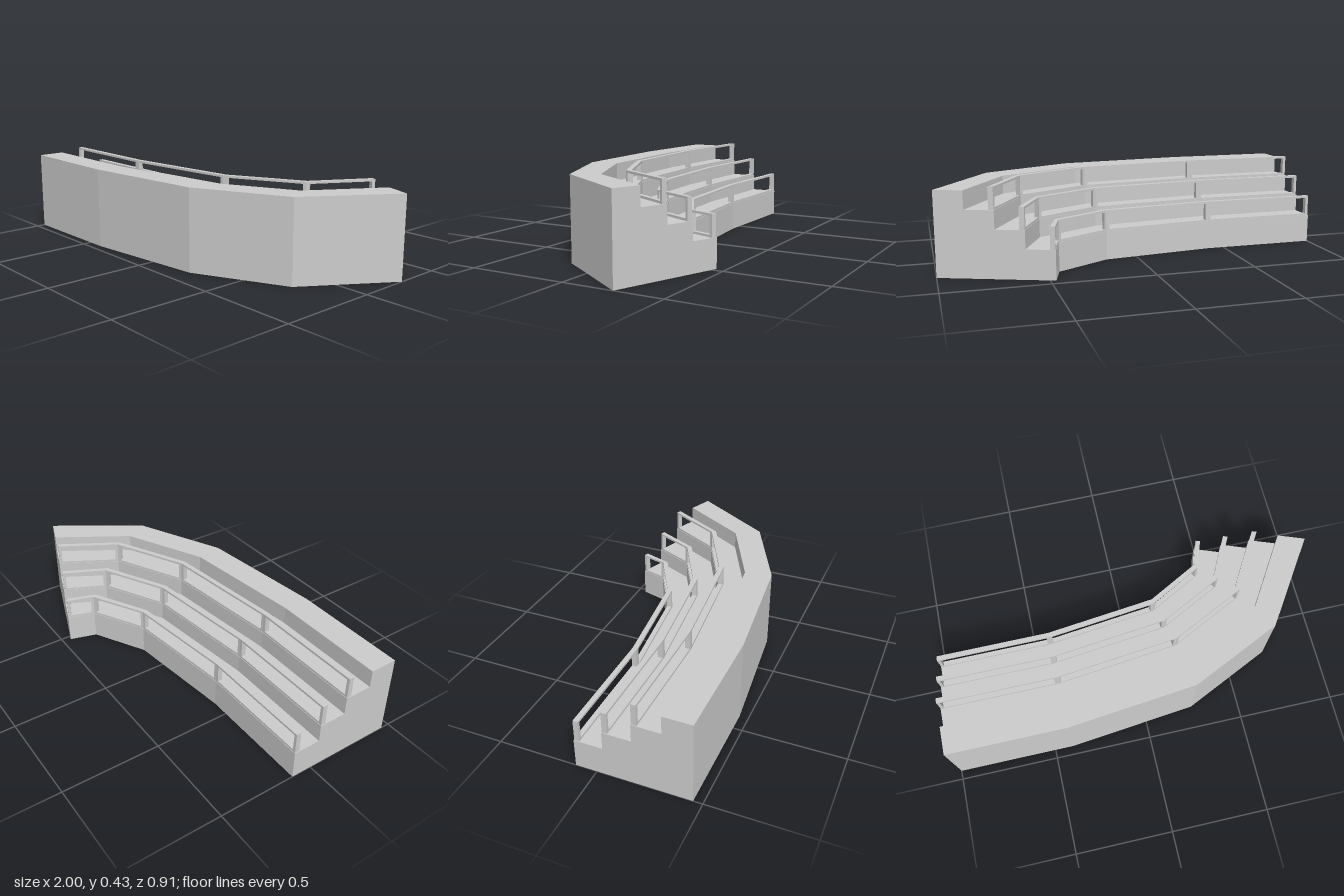
import * as THREE from 'three';

const material = new THREE.MeshStandardMaterial({ color: 0xcccccc, flatShading: true });

// Plan of the curved stand: [inner x, inner z, outer x, outer z] at each bend
const plan = [
  [-1, -0.105, -1, 0.456],
  [-0.41, -0.105, -0.405, 0.456],
  [0.16, -0.17, 0.253, 0.386],
  [0.432, -0.318, 0.714, 0.171],
  [0.473, -0.456, 1, -0.26],
];
const DEPTH = 0.56, ROWS = 4, FIRST = 0.145, RISE = 0.09;

const lerp = THREE.MathUtils.lerp;
const at = (s, t) => [lerp(s[0], s[2], t), lerp(s[1], s[3], t)];

// Section moved distance d from a towards b, measured at depth fraction t
function shift(a, b, d, t) {
  const p = at(a, t), q = at(b, t);
  const k = d / Math.hypot(q[0] - p[0], q[1] - p[1]);
  return a.map((v, i) => lerp(v, b[i], k));
}

// Sweep a closed counter-clockwise profile of [depth fraction, y] through sections
function sweep(name, sections, profile) {
  const pos = [];
  const point = (s, [t, y]) => {
    const [x, z] = at(s, t);
    return [x, y, z];
  };
  const tri = (a, b, c) => pos.push(...a, ...b, ...c);
  for (let i = 0; i < sections.length - 1; i++) {
    profile.forEach((p, j) => {
      const q = profile[(j + 1) % profile.length];
      const p0 = point(sections[i], p), p1 = point(sections[i + 1], p);
      const q0 = point(sections[i], q), q1 = point(sections[i + 1], q);
      tri(p0, p1, q1);
      tri(p0, q1, q0);
    });
  }
  // End caps
  const first = sections[0], last = sections[sections.length - 1];
  const faces = THREE.ShapeUtils.triangulateShape(profile.map((p) => new THREE.Vector2(...p)), []);
  for (const [a, b, c] of faces) {
    tri(point(first, profile[a]), point(first, profile[b]), point(first, profile[c]));
    tri(point(last, profile[c]), point(last, profile[b]), point(last, profile[a]));
  }
  const geometry = new THREE.BufferGeometry();
  geometry.setAttribute('position', new THREE.Float32BufferAttribute(pos, 3));
  geometry.computeVertexNormals();
  const mesh = new THREE.Mesh(geometry, material);
  mesh.name = name;
  return mesh;
}

const rect = (t0, t1, y0, y1) => [[t0, y0], [t1, y0], [t1, y1], [t0, y1]];

// Railing along the front edge of one row: two rails and a post at each bend
function railing(row) {
  const group = new THREE.Group();
  group.name = 'railing' + (row + 1);
  const base = FIRST + row * RISE, top = base + 0.108, bar = 0.011;
  const t0 = row / ROWS + 0.004, t1 = t0 + 0.025 / DEPTH;
  const n = plan.length - 1;

  const path = plan.slice();
  path[0] = shift(plan[0], plan[1], 0.003, t0);
  path[n] = shift(plan[n], plan[n - 1], 0.003, t0);
  group.add(sweep('topRail', path, rect(t0, t1, top - bar, top)));
  group.add(sweep('bottomRail', path, rect(t0, t1, base, base + bar)));

  path.forEach((s, i) => {
    const sections = [s];
    if (i > 0) sections.unshift(shift(s, path[i - 1], 0.015, t0));
    if (i < n) sections.push(shift(s, path[i + 1], 0.015, t0));
    group.add(sweep('post', sections, rect(t0, t1, base + bar, top - bar)));
  });
  return group;
}

export function createModel() {
  const model = new THREE.Group();
  model.name = 'steppedStand';

  // Stepped body: floor and back wall, then the steps from top to bottom
  const profile = [[0, 0], [1, 0]];
  for (let row = ROWS - 1; row >= 0; row--) {
    const y = FIRST + row * RISE;
    profile.push([(row + 1) / ROWS, y], [row / ROWS, y]);
  }
  model.add(sweep('steps', plan, profile));

  // The top tier has no railing
  for (let row = 0; row < ROWS - 1; row++) model.add(railing(row));
  return model;
}
